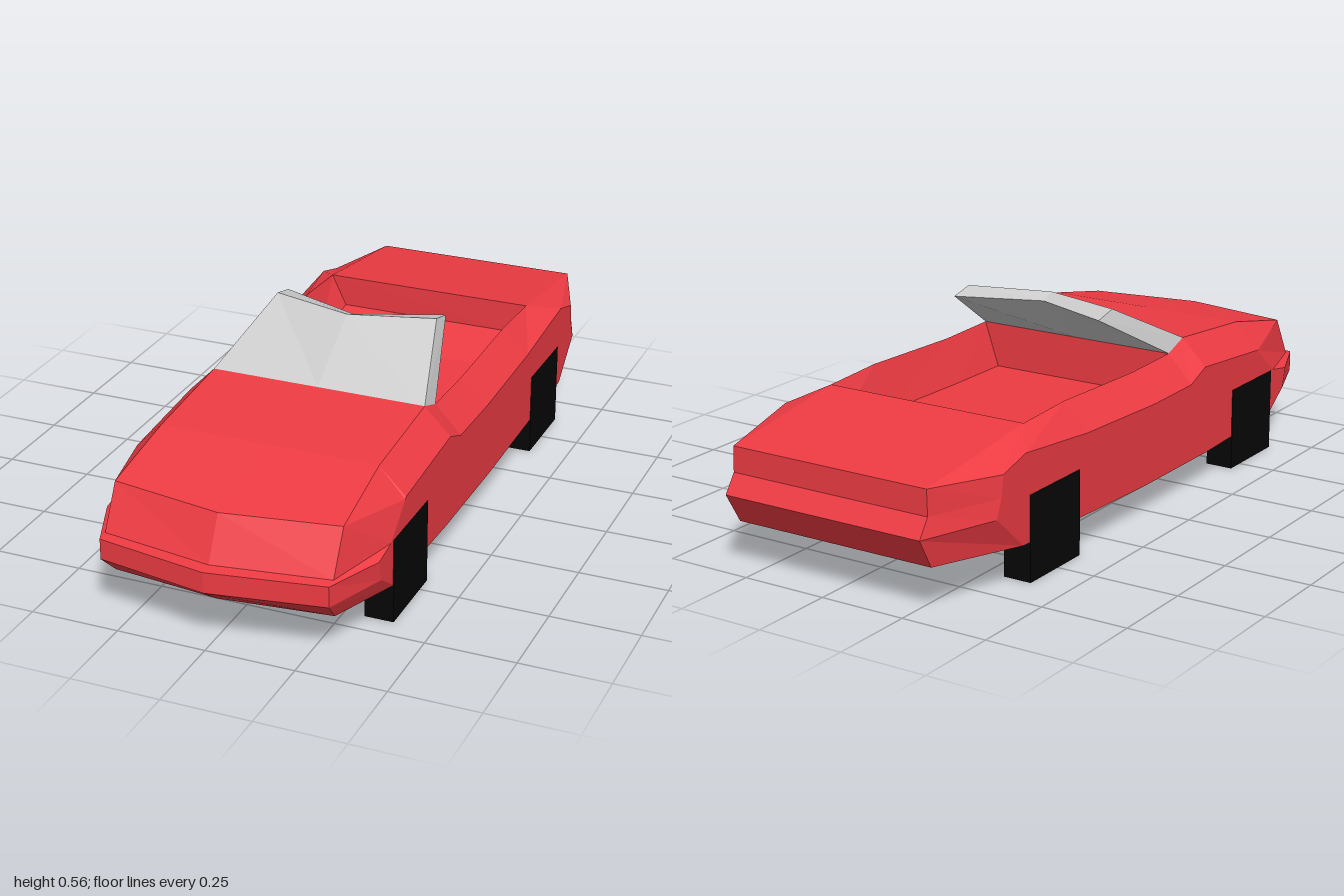
import * as THREE from 'three';

// Full left-to-right row from points listed from the outside (+x) to the centre
const mirrorRow = (half) => [
  ...half,
  ...half.filter((p) => p[0] > 0).reverse().map(([x, y, z]) => [-x, y, z]),
];

// Two triangles from four counter-clockwise corners
const quad = (out, a, b, c, d) => out.push(a, b, c, a, c, d);

// Skins consecutive rows; skip(i, j) leaves a cell open
function skin(out, rows, skip = () => false) {
  for (let i = 0; i < rows.length - 1; i++) {
    for (let j = 0; j < rows[i].length - 1; j++) {
      if (skip(i, j)) continue;
      quad(out, rows[i][j], rows[i + 1][j], rows[i + 1][j + 1], rows[i][j + 1]);
    }
  }
}

function facetedMesh(name, points, material) {
  const geometry = new THREE.BufferGeometry();
  geometry.setAttribute('position', new THREE.Float32BufferAttribute(points.flat(), 3));
  geometry.computeVertexNormals();
  const mesh = new THREE.Mesh(geometry, material);
  mesh.name = name;
  return mesh;
}

export function createModel() {
  const car = new THREE.Group();
  car.name = 'convertible';
  const paint = new THREE.MeshStandardMaterial({ color: 0xee3b43, flatShading: true });
  const rubber = new THREE.MeshStandardMaterial({ color: 0x060606, flatShading: true });
  const grey = new THREE.MeshStandardMaterial({ color: 0xcccccc, flatShading: true, side: THREE.DoubleSide });

  // Body rows run up the nose, over the deck, down the tail and under the belly.
  // Each lists side, corner and centre points.
  const W = 0.387;
  const nose = [
    [[W, 0.107, 0.68], [0.31, 0.109, 0.885], [0, 0.109, 0.92]],
    [[W, 0.167, 0.765], [0.32, 0.167, 0.945], [0, 0.167, 1]],
    [[W, 0.226, 0.78], [0.32, 0.226, 0.945], [0, 0.226, 1]],
    [[W, 0.24, 0.7], [0.32, 0.23, 0.915], [0, 0.23, 0.965]],
    [[W, 0.32, 0.605], [0.32, 0.349, 0.85], [0, 0.349, 0.905]],
  ];
  // z, shoulder height, deck height, shoulder z
  const deck = [
    [0.6, 0.325, 0.4, 0.6],
    [0.28, 0.352, 0.428, 0.28],
    [0.2, 0.32, 0.4, 0.2],
    [0, 0.317, 0.395, 0],
    [-0.35, 0.33, 0.405, -0.35],
    [-0.545, 0.358, 0.396, -0.65],
  ].map(([z, ys, yt, zs]) => [[W, ys, zs], [0.312, yt, z], [0, yt, z]]);
  const tail = [
    [[W, 0.33, -0.75], [0.305, 0.34, -0.965], [0, 0.34, -0.965]],
    [[W, 0.27, -0.76], [0.307, 0.268, -0.965], [0, 0.268, -0.965]],
    [[W, 0.218, -0.78], [0.307, 0.216, -1], [0, 0.216, -1]],
    [[W, 0.112, -0.66], [0.305, 0.13, -0.95], [0, 0.13, -0.95]],
  ];
  const belly = [-0.05, 0.3].map((z) => [[W, 0.093, z], [0.31, 0.093, z], [0, 0.093, z]]);
  const rows = [...nose, ...deck, ...tail, ...belly].map(mirrorRow);
  const open = nose.length + 2; // first row of the cockpit opening
  const body = [];
  skin(body, [...rows, rows[0]], (i, j) => i >= open && i < open + 3 && (j === 1 || j === 2));

  // Flat flanks, triangulated from the side outline
  const flank = rows.map((r) => r[0]).reverse();
  const contour = flank.map(([, y, z]) => new THREE.Vector2(-z, y));
  for (const [a, b, c] of THREE.ShapeUtils.triangulateShape(contour, [])) {
    const tri = [flank[a], flank[b], flank[c]];
    body.push(...tri, ...tri.reverse().map(([x, y, z]) => [-x, y, z]));
  }
  car.add(facetedMesh('body', body, paint));

  // Cockpit tub: sloping side walls, floor rising at the back, end walls
  const tub = [];
  const floorHeights = [0.27, 0.27, 0.275, 0.305];
  const tubRows = floorHeights.map((y, i) => {
    const rim = rows[open + i][1];
    return mirrorRow([rim, [0.268, y, rim[2]]]);
  });
  skin(tub, tubRows);
  quad(tub, ...tubRows[0]);
  quad(tub, ...[...tubRows[3]].reverse());
  car.add(facetedMesh('cockpit', tub, paint));

  // Windscreen: thick raked slab with a notched top edge
  const glass = [];
  const glassRows = [
    [[0.312, 0.428, 0.28], [0, 0.428, 0.28]],
    [[0.24, 0.563, 0.01], [0, 0.563, 0.077]],
    [[0.24, 0.546, -0.062], [0, 0.546, 0.032]],
    [[0.312, 0.4, 0.2], [0, 0.4, 0.2]],
  ].map(mirrorRow);
  skin(glass, glassRows);
  const [fb, ft, bt, bb] = glassRows;
  quad(glass, fb[0], bb[0], bt[0], ft[0]);
  quad(glass, fb[2], ft[2], bt[2], bb[2]);
  car.add(facetedMesh('windscreen', glass, grey));

  // Block wheels, almost flush with the flanks
  const wheelGeometry = new THREE.BoxGeometry(0.082, 0.24, 0.238);
  for (const [end, z] of [['front', 0.566], ['rear', -0.511]]) {
    for (const [side, s] of [['Left', 1], ['Right', -1]]) {
      const wheel = new THREE.Mesh(wheelGeometry, rubber);
      wheel.name = `${end}${side}Wheel`;
      wheel.position.set(s * 0.348, 0.12, z);
      car.add(wheel);
    }
  }
  return car;
}
